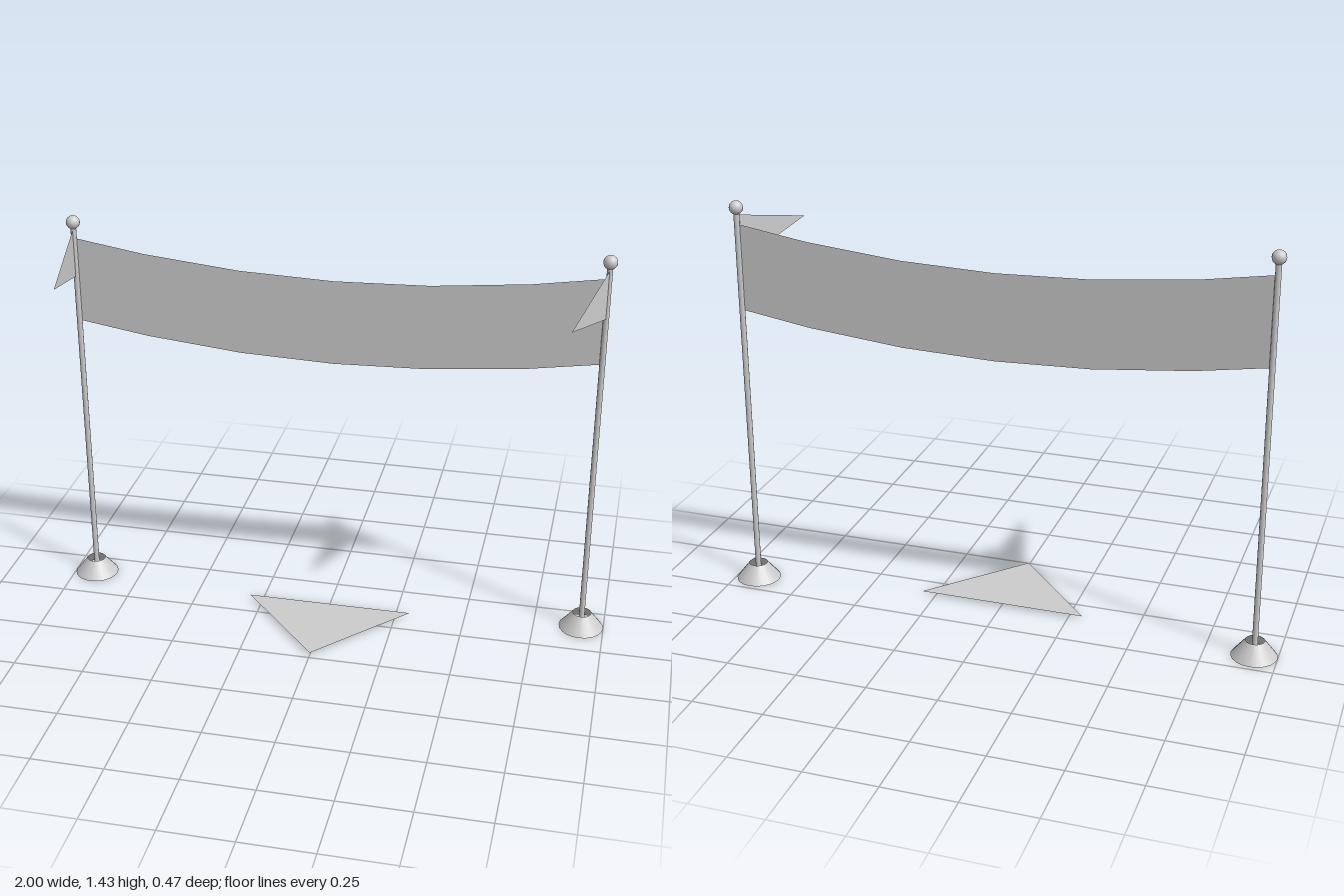
import * as THREE from 'three';

const grey = new THREE.MeshStandardMaterial({ color: 0xcccccc, side: THREE.DoubleSide });
const POST_X = 0.92, POST_Z = -0.155, POST_H = 1.4;

function add(parent, name, geometry, x = 0, y = 0, z = 0) {
  const mesh = new THREE.Mesh(geometry, grey);
  mesh.name = name;
  mesh.position.set(x, y, z);
  parent.add(mesh);
  return mesh;
}

// Thin three-cornered sheet
function triangle(...corners) {
  const geo = new THREE.BufferGeometry();
  geo.setAttribute('position', new THREE.Float32BufferAttribute(corners.flat(), 3));
  geo.computeVertexNormals();
  return geo;
}

// Post with open conical foot, ball finial and pennant
function makePost(name, x, pennantLean) {
  const post = new THREE.Group();
  post.name = name;
  post.position.set(x, 0, POST_Z);
  add(post, 'foot', new THREE.CylinderGeometry(0.033, 0.08, 0.06, 20, 1, true), 0, 0.03);
  add(post, 'pole', new THREE.CylinderGeometry(0.01, 0.01, POST_H, 12), 0, POST_H / 2);
  add(post, 'finial', new THREE.SphereGeometry(0.024, 16, 12), 0, 1.402);
  add(post, 'pennant', triangle([0, 1.375, 0.008], [0, 1.205, 0.008], [pennantLean, 1.29, 0.345]));
  return post;
}

// Flat banner hanging in a shallow curve between the posts
function makeBanner() {
  const columns = [-0.914, -0.67, -0.33, 0, 0.33, 0.67, 0.914];
  const geo = new THREE.PlaneGeometry(1, 0.306, columns.length - 1, 1);
  const pos = geo.attributes.position;
  for (let i = 0; i < pos.count; i++) {
    const x = columns[i % columns.length];
    pos.setXY(i, x, pos.getY(i) + 1.107 + 0.1 * x * x);
  }
  return geo;
}

export function createModel() {
  const model = new THREE.Group();
  model.name = 'bannerGate';
  model.add(makePost('rightPost', -POST_X, 0.05));
  model.add(makePost('leftPost', POST_X, -0.09));
  add(model, 'banner', makeBanner(), 0, 0, POST_Z);

  // Arrow marker lying just above the ground
  add(model, 'groundArrow', triangle([-0.3, 0.01, -0.094], [0, 0.01, 0.235], [0.3, 0.01, -0.094]));
  return model;
}
